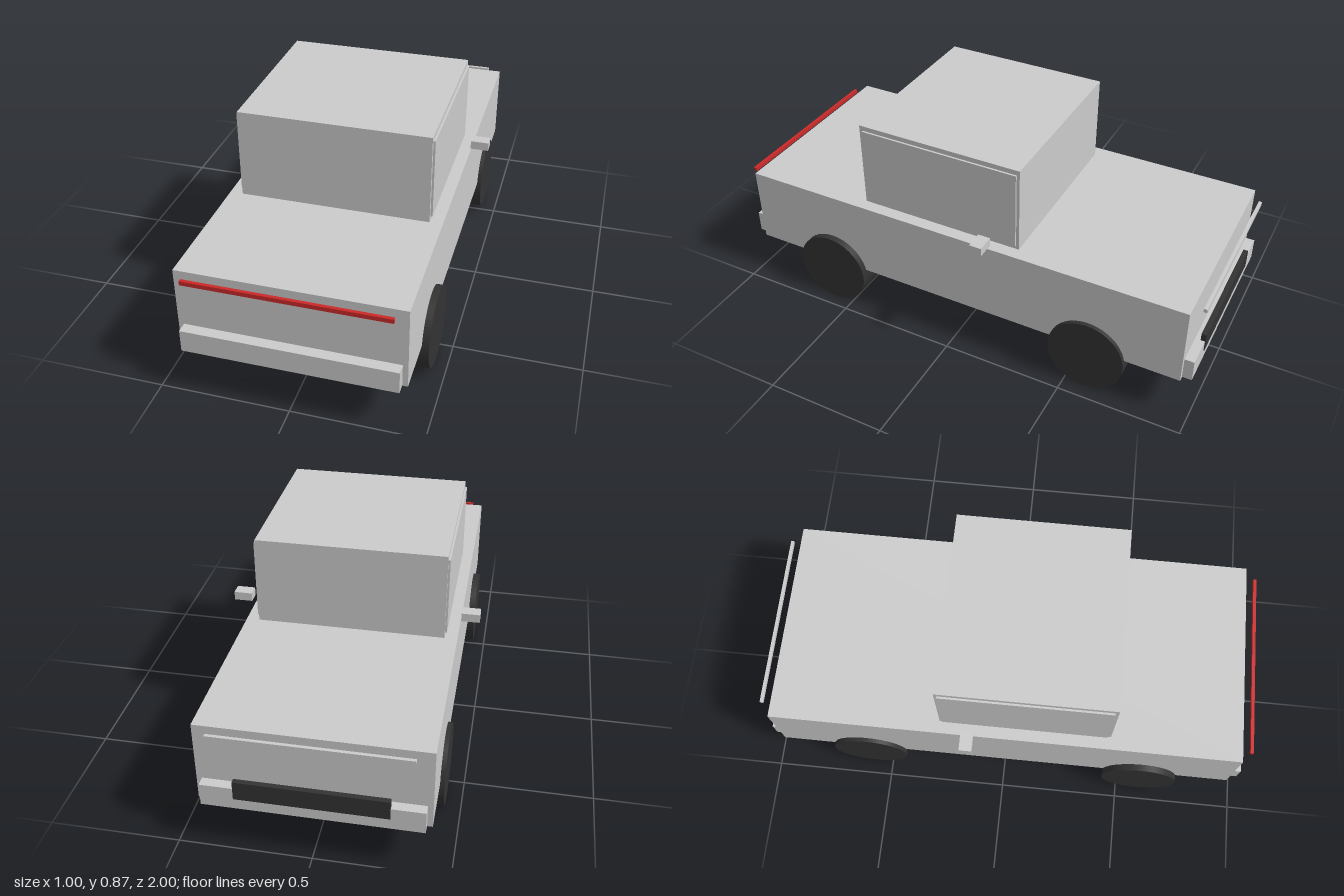
import * as THREE from 'three';

export function createModel() {
  const model = new THREE.Group();
  const grey = new THREE.MeshStandardMaterial({ color: 0xcccccc });
  const dark = new THREE.MeshStandardMaterial({ color: 0x333333 });
  const red = new THREE.MeshStandardMaterial({ color: 0xcc2929 });

  // Box given by its [min, max] extents on each axis
  function box(name, [x0, x1], [y0, y1], [z0, z1], material = grey) {
    const mesh = new THREE.Mesh(new THREE.BoxGeometry(x1 - x0, y1 - y0, z1 - z0), material);
    mesh.position.set((x0 + x1) / 2, (y0 + y1) / 2, (z0 + z1) / 2);
    mesh.name = name;
    model.add(mesh);
  }

  // Body and cabin
  box('body', [-0.423, 0.423], [0.187, 0.515], [-0.955, 0.956]);
  box('cabin', [-0.372, 0.372], [0.515, 0.873], [-0.262, 0.428]);

  // Bumpers
  box('frontBumper', [-0.403, 0.403], [0.19, 0.28], [0.956, 0.998]);
  box('rearBumper', [-0.403, 0.403], [0.19, 0.28], [-0.993, -0.955]);

  // Light bars standing just off each end, and the rear plate
  box('frontLightBar', [-0.38, 0.38], [0.49, 0.507], [0.987, 1]);
  model.getObjectByName('frontLightBar').material = red;
  box('rearLightBar', [-0.363, 0.363], [0.494, 0.509], [-1, -0.987]);
  box('rearPlate', [-0.28, 0.28], [0.235, 0.312], [-0.996, -0.976], dark);

  // Side windows, mirrors and wheels
  for (const [side, s] of [['left', 1], ['right', -1]]) {
    const span = (a, b) => (s > 0 ? [a, b] : [-b, -a]);
    box(side + 'Window', span(0.365, 0.38), [0.532, 0.853], [-0.25, 0.414]);
    box(side + 'Mirror', span(0.427, 0.5), [0.54, 0.575], [-0.168, -0.118]);

    for (const [end, z, inner, outer] of [['Front', 0.583, 0.333, 0.45], ['Rear', -0.58, 0.34, 0.44]]) {
      const wheel = new THREE.Mesh(new THREE.CylinderGeometry(0.157, 0.157, outer - inner, 48), dark);
      wheel.rotation.z = Math.PI / 2;
      wheel.position.set(s * (inner + outer) / 2, 0.158, z);
      wheel.name = side + end + 'Wheel';
      model.add(wheel);
    }
  }

  return model;
}
